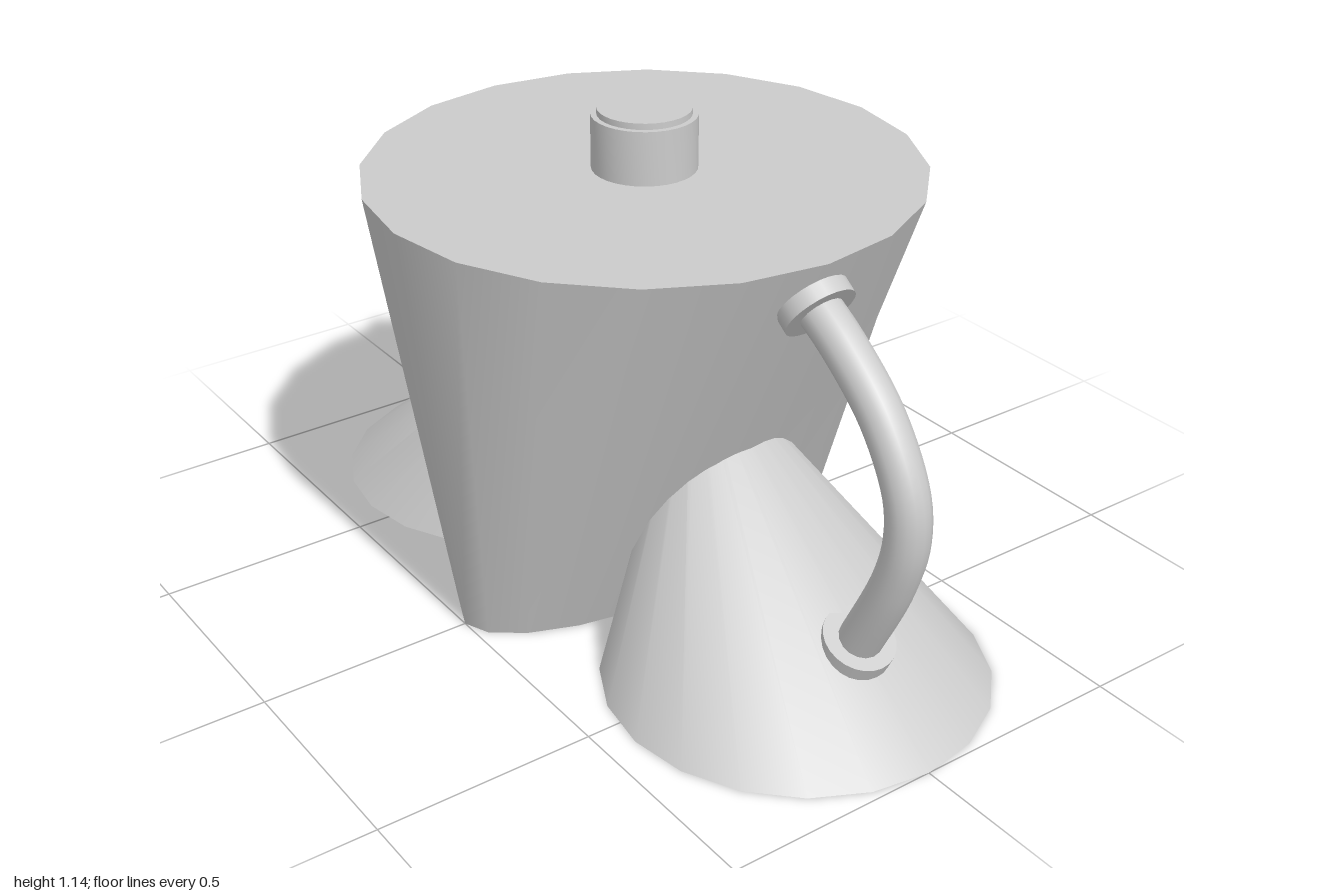
import * as THREE from 'three';
import { toCreasedNormals } from 'three/addons/utils/BufferGeometryUtils.js';

const material = new THREE.MeshStandardMaterial({ color: 0xcccccc });

function part(name, geometry, parent) {
  const mesh = new THREE.Mesh(geometry, material);
  mesh.name = name;
  parent.add(mesh);
  return mesh;
}

// Capped solid between two ellipses: { y, z, rx, rz }
function frustum(bottom, top) {
  const geometry = new THREE.CylinderGeometry(1, 1, 1, 20);
  const pos = geometry.attributes.position;
  for (let i = 0; i < pos.count; i++) {
    const end = pos.getY(i) > 0 ? top : bottom;
    pos.setXYZ(i, pos.getX(i) * end.rx, end.y, end.z + pos.getZ(i) * end.rz);
  }
  return toCreasedNormals(geometry, 0.9);
}

// Short disc whose axis follows the handle
function collar(name, center, axis, parent) {
  const mesh = part(name, new THREE.CylinderGeometry(0.081, 0.081, 0.036, 24), parent);
  mesh.position.copy(center);
  mesh.quaternion.setFromUnitVectors(new THREE.Vector3(0, 1, 0), axis.clone().normalize());
}

export function createModel() {
  const model = new THREE.Group();
  model.name = 'vessel';

  // Body: round at the top, narrowing to a thin ellipse
  part('body', frustum(
    { y: 0, z: 0, rx: 0.5, rz: 0.193 },
    { y: 1, z: 0, rx: 0.62, rz: 0.62 }), model);

  // Stepped knob on the lid
  const knob = [[0, 1], [0.117, 1], [0.117, 1.123], [0.104, 1.123], [0.104, 1.137], [0, 1.137]]
    .map(([r, y]) => new THREE.Vector2(r, y));
  part('knob', toCreasedNormals(new THREE.LatheGeometry(knob, 32), 0.6), model);

  // Handle centreline as [z, y]
  const path = new THREE.CatmullRomCurve3(
    [[0.56, 0.915], [0.68, 0.84], [0.80, 0.735], [0.88, 0.6], [0.89, 0.5], [0.86, 0.385], [0.755, 0.165]]
      .map(([z, y]) => new THREE.Vector3(0, y, z)));

  // Foot and handle, front and back
  for (const end of ['front', 'back']) {
    const side = new THREE.Group();
    side.name = end + 'Side';
    if (end === 'back') side.rotation.y = Math.PI;
    model.add(side);

    // Leaning cone whose tip is buried in the body
    part(end + 'Foot', frustum(
      { y: 0, z: 0.57, rx: 0.43, rz: 0.43 },
      { y: 0.6, z: 0.211, rx: 0.039, rz: 0.039 }), side);

    part(end + 'Handle', new THREE.TubeGeometry(path, 40, 0.048, 16), side);
    collar(end + 'UpperCollar', new THREE.Vector3(0, 0.896, 0.587), new THREE.Vector3(0, -0.58, 0.81), side);
    collar(end + 'LowerCollar', new THREE.Vector3(0, 0.186, 0.763), new THREE.Vector3(0, 0.9, 0.43), side);
  }
  return model;
}
